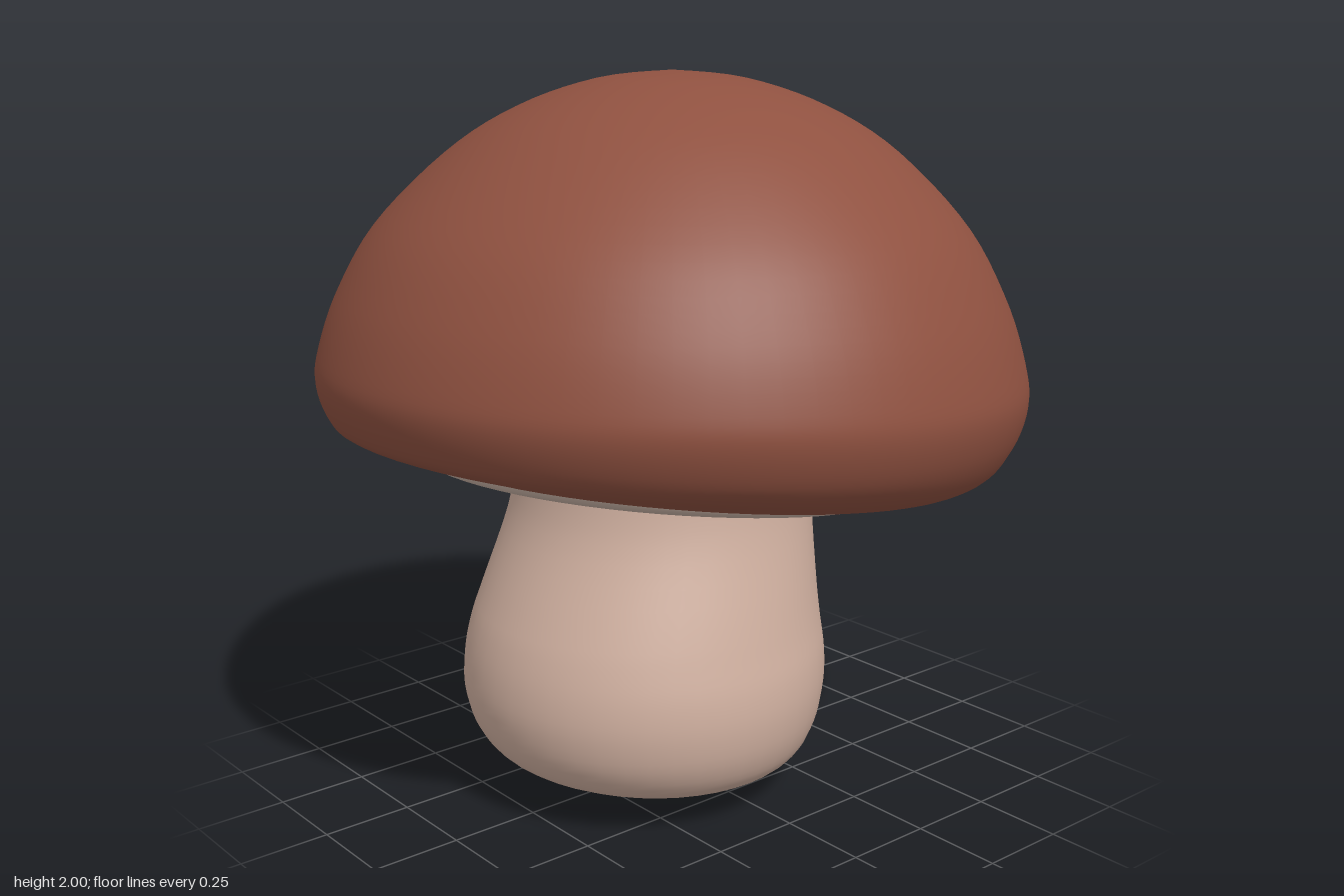
import * as THREE from 'three';
import { mergeVertices } from 'three/addons/utils/BufferGeometryUtils.js';

const mat = (name, color, side = THREE.FrontSide) => {
  const m = new THREE.MeshStandardMaterial({ color, side });
  m.name = name;
  return m;
};

// Weld the seam and smooth the normals
function smooth(geometry) {
  geometry.deleteAttribute('uv');
  geometry.deleteAttribute('normal');
  const welded = mergeVertices(geometry, 1e-5);
  welded.computeVertexNormals();
  return welded;
}

// Revolve a smoothed profile, then move every vertex by a rule
function turned(points, steps, segments, rule) {
  const curve = new THREE.SplineCurve(points.map(([r, y]) => new THREE.Vector2(r, y)));
  const profile = curve.getPoints(steps);
  profile.forEach(p => { p.x = Math.max(0, p.x); });
  const geometry = new THREE.LatheGeometry(profile, segments);
  const pos = geometry.attributes.position;
  const v = new THREE.Vector3();
  for (let i = 0; i < pos.count; i++) {
    v.fromBufferAttribute(pos, i);
    rule(v);
    pos.setXYZ(i, v.x, v.y, v.z);
  }
  return smooth(geometry);
}

// The cap leans to one side at its rim and evens out towards the crown
const LEAN = [[0.93, 0.14], [1.03, 0.08], [1.3, 0.05], [1.8, 0]];
function leanAt(y) {
  if (y <= LEAN[0][0]) return LEAN[0][1];
  for (let i = 1; i < LEAN.length; i++) {
    const [y0, a] = LEAN[i - 1], [y1, b] = LEAN[i];
    if (y <= y1) return THREE.MathUtils.lerp(a, b, (y - y0) / (y1 - y0));
  }
  return 0;
}
function lean(v) {
  const forward = 0.035 * THREE.MathUtils.clamp((1.8 - v.y) / 0.7, 0, 1);
  v.y += -leanAt(v.y) * v.x + forward * v.z;
}

// Stem lofted from ellipses; rows are y, right x, left x, back z, front z
function stemGeometry() {
  const rows = [
    [0.005, 0.08, 0.08, -0.03, -0.03], [0.02, -0.12, 0.22, -0.22, 0.14],
    [0.06, -0.34, 0.3, -0.38, 0.31], [0.12, -0.495, 0.365, -0.46, 0.42],
    [0.2, -0.57, 0.405, -0.505, 0.47], [0.3, -0.6, 0.428, -0.53, 0.49],
    [0.4, -0.598, 0.43, -0.527, 0.487], [0.5, -0.575, 0.42, -0.51, 0.467],
    [0.6, -0.535, 0.412, -0.49, 0.445], [0.8, -0.45, 0.408, -0.455, 0.4],
    [0.95, -0.42, 0.41, -0.44, 0.385], [1.06, -0.41, 0.41, -0.43, 0.38],
  ];
  const xs = new THREE.CatmullRomCurve3(rows.map(r => new THREE.Vector3(r[1], r[0], r[2])), false, 'catmullrom');
  const zs = new THREE.CatmullRomCurve3(rows.map(r => new THREE.Vector3(r[3], r[0], r[4])), false, 'catmullrom');
  const rings = 44, sides = 48, positions = [], index = [];
  for (let i = 0; i <= rings; i++) {
    const a = xs.getPoint(i / rings), b = zs.getPoint(i / rings);
    for (let j = 0; j < sides; j++) {
      const t = j / sides * Math.PI * 2;
      positions.push(
        (a.x + a.z) / 2 + Math.sin(t) * (a.z - a.x) / 2,
        Math.max(0, a.y),
        (b.x + b.z) / 2 + Math.cos(t) * (b.z - b.x) / 2);
      if (i === rings) continue;
      const k = (j + 1) % sides, p = i * sides, q = p + sides;
      index.push(p + j, p + k, q + k, p + j, q + k, q + j);
    }
  }
  const geometry = new THREE.BufferGeometry();
  geometry.setAttribute('position', new THREE.Float32BufferAttribute(positions, 3));
  geometry.setIndex(index);
  geometry.computeVertexNormals();
  return geometry;
}

export function createModel() {
  const group = new THREE.Group();
  group.name = 'mushroom';
  const brown = mat('capBrown', 0x8f5140);
  const beige = mat('stemBeige', 0xd0b0a0);
  const pale = mat('gillBeige', 0xc8b2a5, THREE.DoubleSide);
  const add = (name, geometry, material) => {
    const mesh = new THREE.Mesh(geometry, material);
    mesh.name = name;
    group.add(mesh);
  };

  // Domed cap with a rolled rim and closed underside
  add('cap', turned([
    [0, 0.925], [0.35, 0.925], [0.6, 0.918], [0.73, 0.918], [0.86, 0.965], [0.93, 1.035],
    [0.966, 1.14], [0.957, 1.24], [0.9, 1.41], [0.79, 1.6], [0.6, 1.79],
    [0.41, 1.907], [0.2, 1.978], [0, 2],
  ], 64, 72, v => { lean(v); v.z *= 1.008; }), brown);

  // Bulging ring under the cap, its opening set off centre
  add('underCapRing', turned([
    [0.38, 0.93], [0.38, 0.875], [0.5, 0.876], [0.6, 0.885], [0.66, 0.9], [0.68, 0.925],
  ], 24, 64, v => {
    const out = THREE.MathUtils.clamp((Math.hypot(v.x, v.z) - 0.38) / 0.3, 0, 1);
    v.x += -0.04 - 0.05 * (1 - out);
    lean(v);
  }), pale);

  // Swollen, slightly lopsided stem
  add('stem', stemGeometry(), beige);
  return group;
}
